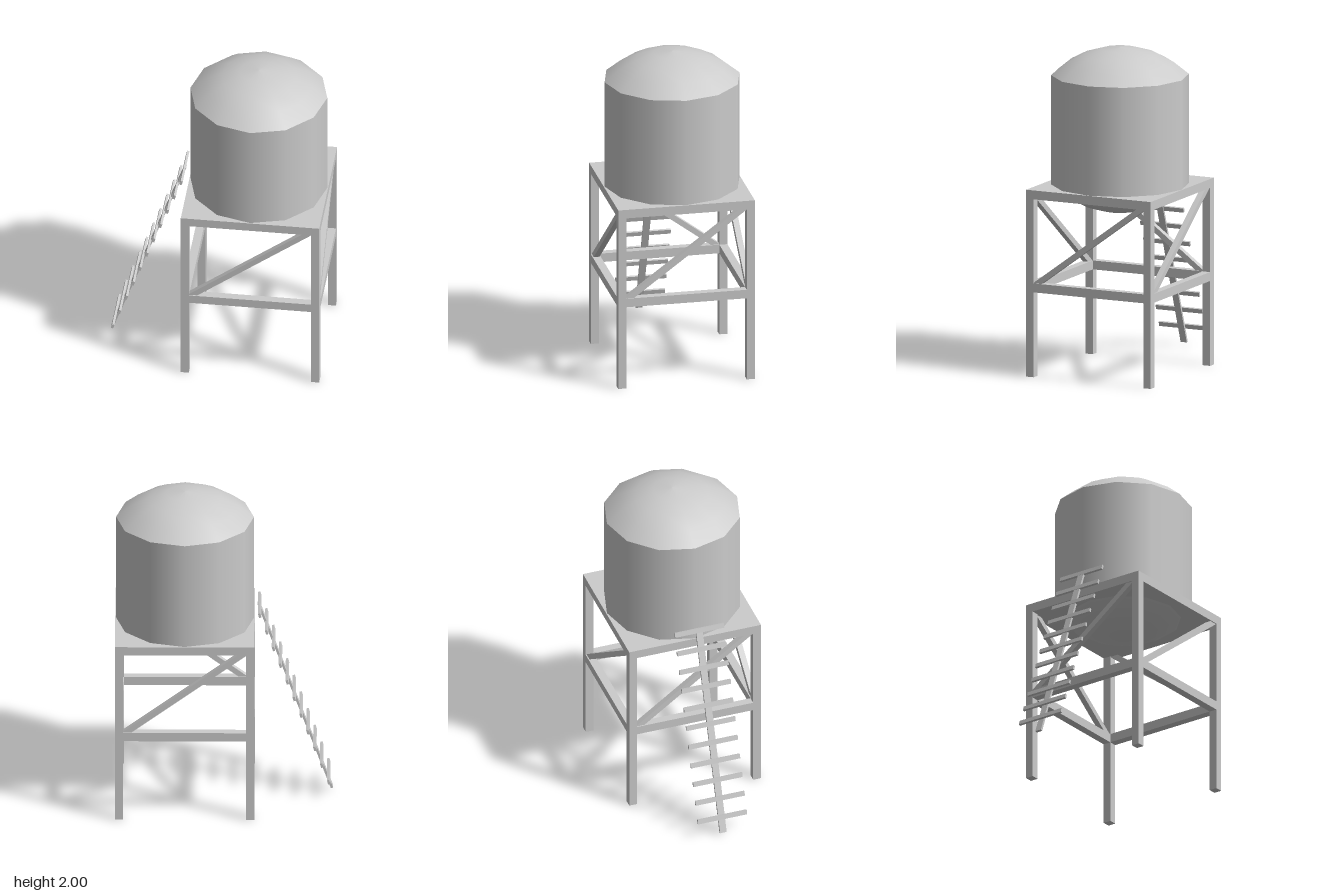
import * as THREE from 'three';

const CX = 0.239;    // centre of the tower in x
const HALF = 0.423;  // half width of the tower
const POST = 0.05;   // leg thickness

export function createModel() {
  const model = new THREE.Group();
  const material = new THREE.MeshStandardMaterial({ color: 0xcccccc });

  const add = (name, geometry, parent) => {
    const mesh = new THREE.Mesh(geometry, material);
    mesh.name = name;
    parent.add(mesh);
    return mesh;
  };
  const box = (name, size, pos, parent) => {
    const mesh = add(name, new THREE.BoxGeometry(...size), parent);
    mesh.position.set(...pos);
    return mesh;
  };

  const tower = new THREE.Group();
  tower.name = 'tower';
  tower.position.x = CX;
  model.add(tower);

  // Tank: twelve-sided wall with shallow spherical caps above and below
  const radius = 0.418, wallBottom = 1.155, wallTop = 1.83, rise = 0.17;
  const wall = add('tankWall',
    new THREE.CylinderGeometry(radius, radius, wallTop - wallBottom, 12, 1, true), tower);
  wall.position.y = (wallTop + wallBottom) / 2;

  const R = (radius * radius + rise * rise) / (2 * rise);
  const sweep = Math.asin(radius / R);
  const capPoints = [];
  for (let i = 0; i <= 4; i++) {
    const a = sweep * (1 - i / 4);
    capPoints.push(new THREE.Vector2(i === 4 ? 0 : R * Math.sin(a), R * Math.cos(a) - R + rise));
  }
  const roof = add('tankRoof', new THREE.LatheGeometry(capPoints, 12), tower);
  roof.position.y = wallTop;
  const bowl = add('tankBowl', new THREE.LatheGeometry(capPoints, 12), tower);
  bowl.position.y = wallBottom;
  bowl.rotation.x = Math.PI;

  // Platform
  box('platform', [HALF * 2, 0.055, HALF * 2], [0, 1.1275, 0], tower);

  // Four identical sides: a leg, a cross beam and one diagonal brace each
  const c = HALF - POST / 2;
  for (let i = 0; i < 4; i++) {
    const side = new THREE.Group();
    side.name = 'frameSide';
    side.rotation.y = i * Math.PI / 2;
    tower.add(side);
    box('leg', [POST, 1.1, POST], [-c, 0.55, c], side);
    box('crossBeam', [2 * c - POST, 0.055, POST], [0, 0.5525, c], side);
    const brace = box('brace', [0.93, 0.034, 0.036], [0, 0.84, c], side);
    brace.rotation.z = Math.atan(0.74);
  }

  // Leaning ladder: a single middle rail with eleven rungs
  const ladder = new THREE.Group();
  ladder.name = 'ladder';
  model.add(ladder);
  const foot = new THREE.Vector2(-0.652, 0.018), head = new THREE.Vector2(-0.207, 1.248);
  const lean = Math.atan2(head.x - foot.x, head.y - foot.y);
  const rail = box('ladderRail', [0.014, foot.distanceTo(head), 0.042],
    [(foot.x + head.x) / 2, (foot.y + head.y) / 2, 0.015], ladder);
  rail.rotation.z = -lean;
  for (let i = 0; i < 11; i++) {
    const rung = box('ladderRung', [0.014, 0.028, 0.315],
      [-0.632 + i * 0.0418, 0.12 + i * 0.1115, 0.016], ladder);
    rung.rotation.z = -lean * 0.8;
  }

  return model;
}
